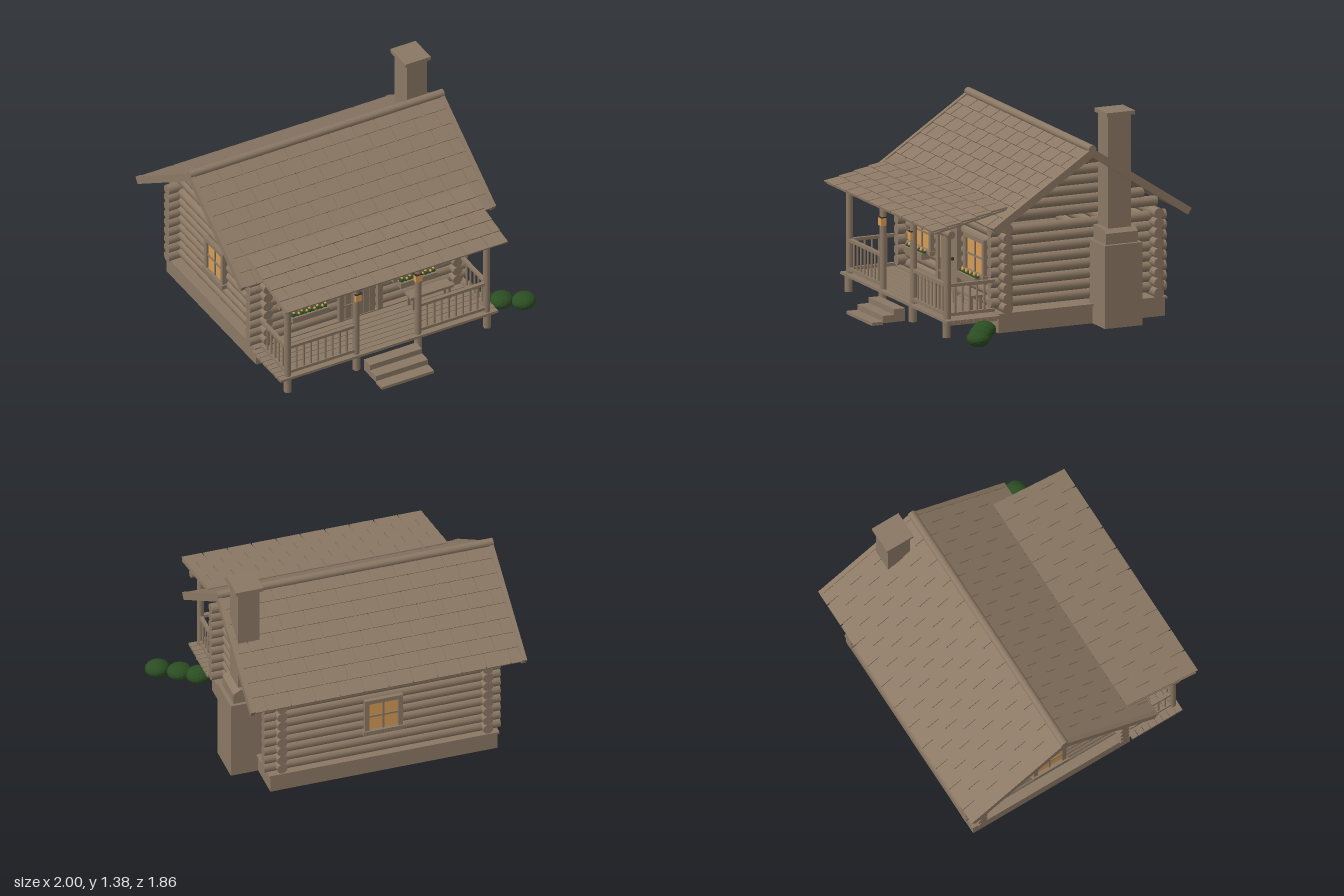
import * as THREE from 'three';
import { mergeGeometries } from 'three/addons/utils/BufferGeometryUtils.js';

const mat = (name, color) => {
  const m = new THREE.MeshStandardMaterial({ color });
  m.name = name;
  return m;
};

// Box given by its min and max corners
const box = (x0, x1, y0, y1, z0, z1) =>
  new THREE.BoxGeometry(x1 - x0, y1 - y0, z1 - z0).translate((x0 + x1) / 2, (y0 + y1) / 2, (z0 + z1) / 2);
const logX = (x0, x1, y, z, r) =>
  new THREE.CylinderGeometry(r, r, x1 - x0, 12).rotateZ(Math.PI / 2).translate((x0 + x1) / 2, y, z);
const logZ = (z0, z1, x, y, r) =>
  new THREE.CylinderGeometry(r, r, z1 - z0, 12).rotateX(Math.PI / 2).translate(x, y, (z0 + z1) / 2);
const post = (x, z, y0, y1, r) =>
  new THREE.CylinderGeometry(r, r, y1 - y0, 12).translate(x, (y0 + y1) / 2, z);

const CX = -0.095;              // centre line of the house
const CZ = -0.245;              // ridge line
const HALF_X = 0.675, HALF_Z = 0.52; // wall centre offsets
const R = 0.0335;               // log radius

export function createModel() {
  const model = new THREE.Group();
  model.name = 'logCabin';
  const wood = mat('wood', 0x8b7864);
  const glow = mat('amberGlass', 0xd69c56);
  const leaf = mat('leafGreen', 0x2b4d22);
  const iron = mat('darkIron', 0x3a3029);

  const add = (name, material, geos, parent = model) => {
    const mesh = new THREE.Mesh(mergeGeometries(geos.map(g => g.index ? g.toNonIndexed() : g)), material);
    mesh.name = name;
    parent.add(mesh);
    return mesh;
  };

  // Foundation
  add('foundation', wood, [
    box(-0.84, 0.65, 0.01, 0.12, -0.82, 0.33),
    box(-0.85, 0.66, 0.12, 0.135, -0.83, 0.33),
  ]);

  // Log walls with crossing corners
  const longLogs = [], sideLogs = [], gableLogs = [];
  for (let i = 0; i < 9; i++)
    for (const s of [-1, 1]) longLogs.push(logX(-0.87, 0.68, 0.166 + i * 0.0635, CZ + s * HALF_Z, R));
  for (const s of [-1, 1]) {
    const x = CX + s * HALF_X;
    for (let i = 0; i < 8; i++) sideLogs.push(logZ(-0.85, 0.36, x, 0.188 + i * 0.065, R));
    for (let i = 0; i < 6; i++) {
      const y = 0.735 + i * 0.0625, half = (1.125 - y - R) / 0.654;
      gableLogs.push(logZ(CZ - half, CZ + half, x, y, R));
    }
  }
  add('frontAndBackLogs', wood, longLogs);
  add('sideLogs', wood, sideLogs);
  add('gableLogs', wood, gableLogs);

  // Sloped roof plane: local z runs down the slope, x is centred
  const slope = (name, width, z0, y0, z1, y1, rows, thick, parent) => {
    const g = new THREE.Group();
    g.name = name;
    const len = Math.hypot(z1 - z0, y1 - y0), pitch = len / rows, w = 0.16, h = width / 2;
    g.position.set(0, y0, z0);
    g.rotation.x = Math.atan2(y0 - y1, z1 - z0);
    add('roofDeck', wood, [box(-h, h, -thick, -0.012, 0, len - 0.01)], g);
    const tiles = [];
    for (let r = 0; r < rows; r++) {
      const shift = r % 2 ? w / 2 : 0;
      for (let x = -h - shift; x < h - 0.01; x += w) {
        const a = Math.max(x, -h) + 0.004, b = Math.min(x + w, h) - 0.004;
        if (b - a < 0.01) continue;
        tiles.push(new THREE.BoxGeometry(b - a, 0.01, pitch + 0.006).rotateX(-0.06)
          .translate((a + b) / 2, -0.006, (r + 0.5) * pitch));
      }
    }
    add('shingles', wood, tiles, g);
    parent.add(g);
    return { g, len };
  };

  // Main roof, the same slope turned round for the back
  for (const [name, turn] of [['frontRoof', 0], ['backRoof', Math.PI]]) {
    const side = new THREE.Group();
    side.name = name;
    side.position.set(CX, 0, CZ);
    side.rotation.y = turn;
    const { g, len } = slope('roofSlope', 1.76, 0, 1.16, 0.68, 0.715, 8, 0.035, side);
    add('rakeBoards', wood, [-1, 1].map(s =>
      box(s * 0.89 - 0.015, s * 0.89 + 0.015, -0.042, 0.006, 0, len)), g);
    model.add(side);
  }
  add('ridgeLog', wood, [logX(-1, 0.81, 1.16, CZ, 0.026)]);

  // Porch roof, beam and rafters
  const porch = new THREE.Group();
  porch.name = 'porchRoof';
  porch.position.x = CX;
  const p = slope('porchSlope', 1.58, 0.29, 0.825, 0.8, 0.715, 5, 0.024, porch);
  add('rafters', wood, Array.from({ length: 10 }, (_, i) => {
    const x = -0.72 + i * 0.16;
    return box(x - 0.01, x + 0.01, -0.042, -0.022, 0.02, p.len - 0.04);
  }), p.g);
  model.add(porch);
  add('porchBeam', wood, [logX(-0.87, 0.68, 0.675, 0.665, 0.025)]);

  // Porch deck boards, posts and steps
  const boards = [];
  for (let i = 0; i < 8; i++) boards.push(box(-0.87, 0.68, 0.11, 0.127, 0.33 + i * 0.0465, 0.372 + i * 0.0465));
  add('porchBoards', wood, boards);
  add('porchJoists', wood, [-0.805, -0.315, 0.125, 0.615].map(x => box(x - 0.015, x + 0.015, 0.085, 0.11, 0.33, 0.69)));
  const postX = [-0.71, -0.22, 0.22, 0.71].map(x => CX + x);
  add('porchPosts', wood, postX.map(x => post(x, 0.665, 0.11, 0.66, 0.022)));
  add('postFeet', wood, postX.map(x => post(x, 0.67, 0.01, 0.11, 0.025)));
  add('steps', wood, [0, 1, 2].map(i =>
    box(-0.28, 0.09, i ? 0.01 : 0, 0.02 + i * 0.036, 0.86 - i * 0.077, 0.935 - i * 0.077)));

  // Railings: two front bays and two ends
  const rails = [], balusters = [];
  for (const s of [-1, 1]) {
    const a = CX + s * 0.235, b = CX + s * 0.695, lo = Math.min(a, b), hi = Math.max(a, b);
    const ex = CX + s * 0.71;
    for (const y of [0.155, 0.34]) {
      rails.push(box(lo, hi, y - 0.01, y + 0.01, 0.652, 0.678));
      rails.push(box(ex - 0.012, ex + 0.012, y - 0.01, y + 0.01, 0.34, 0.65));
    }
    for (let i = 1; i < 9; i++) balusters.push(post(lo + (hi - lo) * i / 9, 0.665, 0.155, 0.34, 0.007));
    for (let i = 0; i < 5; i++) balusters.push(post(ex, 0.41 + i * 0.05, 0.155, 0.34, 0.007));
  }
  add('rails', wood, rails);
  add('balusters', wood, balusters);

  // Door with planks, frame, straps and knob
  const planks = [];
  for (let i = 0; i < 5; i++) planks.push(box(-0.202 + i * 0.043, -0.162 + i * 0.043, 0.135, 0.59, 0.3, 0.325));
  add('doorPlanks', wood, planks);
  add('doorFrame', wood, [
    box(-0.25, -0.215, 0.13, 0.64, 0.28, 0.335),
    box(0.025, 0.06, 0.13, 0.64, 0.28, 0.335),
    box(-0.25, 0.06, 0.595, 0.64, 0.28, 0.337),
  ]);
  add('doorSideLights', glow, [box(-0.215, -0.203, 0.32, 0.53, 0.315, 0.322), box(0.013, 0.025, 0.32, 0.53, 0.315, 0.322)]);
  add('doorStraps', wood, [0.235, 0.48].map(y => box(-0.215, -0.09, y - 0.007, y + 0.007, 0.325, 0.331)));
  add('doorKnob', iron, [new THREE.SphereGeometry(0.011, 10, 8).translate(-0.008, 0.35, 0.333)]);

  // Windows, built facing +z with the wall surface at z = 0
  const makeWindow = (name, x, z, turn, w, planter) => {
    const g = new THREE.Group();
    g.name = name;
    g.position.set(x, 0.43, z);
    g.rotation.y = turn;
    const h = 0.1, o = w + 0.03;
    add('pane', glow, [box(-w, w, -h, h, 0, 0.006)], g);
    add('windowFrame', wood, [
      box(-o, -w, -h, h, -0.03, 0.02), box(w, o, -h, h, -0.03, 0.02),
      box(-o, o, h, h + 0.028, -0.03, 0.022), box(-o - 0.01, o + 0.01, -h - 0.028, -h, -0.03, 0.03),
      box(-0.006, 0.006, -h, h, 0.002, 0.013), box(-w, w, -0.006, 0.006, 0.002, 0.013),
    ], g);
    if (planter) {
      add('flowerBox', wood, [box(-0.13, 0.13, -0.155, -0.115, 0.02, 0.075)], g);
      const leaves = [], blooms = [];
      for (let i = 0; i < 9; i++) {
        const fx = -0.112 + i * 0.028;
        leaves.push(new THREE.IcosahedronGeometry(0.016, 1).translate(fx, -0.112, 0.048));
        blooms.push(new THREE.IcosahedronGeometry(0.009, 1).translate(fx + 0.006, -0.098, 0.044 + (i % 2) * 0.014));
      }
      add('planterLeaves', leaf, leaves, g);
      add('blooms', glow, blooms, g);
    }
    model.add(g);
  };
  const frontZ = CZ + HALF_Z + R + 0.002, backZ = CZ - HALF_Z - R - 0.002;
  makeWindow('frontRightWindow', CX - 0.385, frontZ, 0, 0.118, true);
  makeWindow('frontLeftWindow', CX + 0.385, frontZ, 0, 0.118, true);
  makeWindow('backWindow', CX, backZ, Math.PI, 0.095, false);
  makeWindow('sideWindow', CX - HALF_X - R - 0.002, CZ, -Math.PI / 2, 0.09, false);

  // Lanterns on the middle posts
  for (const s of [-1, 1]) {
    const x = CX + s * 0.215;
    add('lanternGlass', glow, [box(x - 0.022, x + 0.022, 0.535, 0.585, 0.655, 0.692)]);
    add('lanternCap', iron, [box(x - 0.024, x + 0.024, 0.585, 0.591, 0.653, 0.694)]);
  }

  // Porch bench
  add('bench', wood, [
    box(0.2, 0.5, 0.21, 0.228, 0.36, 0.445),
    ...[0.215, 0.47].flatMap(x => [0.365, 0.425].map(z => box(x, x + 0.015, 0.127, 0.21, z, z + 0.015))),
  ]);

  // Stepped chimney with a sloping shoulder
  const shoulder = new THREE.Shape([[0.62, 0.54], [0.805, 0.54], [0.805, 0.61], [0.76, 0.635], [0.62, 0.635]]
    .map(c => new THREE.Vector2(...c)));
  add('chimneyBase', wood, [box(0.6, 0.83, 0.01, 0.54, -0.58, -0.32)]);
  add('chimneyShoulder', wood, [
    new THREE.ExtrudeGeometry(shoulder, { depth: 0.22, bevelEnabled: false }).translate(0, 0, -0.56)]);
  add('chimneyStack', wood, [box(0.625, 0.765, 0.6, 1.35, -0.53, -0.37)]);
  add('chimneyCap', wood, [box(0.605, 0.785, 1.35, 1.375, -0.55, -0.355)]);

  // Bushes by the porch corner
  leaf.flatShading = true;
  for (const [x, z] of [[0.7, 0.45], [0.8, 0.52], [0.92, 0.595]])
    add('bush', leaf, [new THREE.IcosahedronGeometry(0.08, 2).scale(1, 0.66, 0.92).translate(x, 0.058, z)]);

  return model;
}
